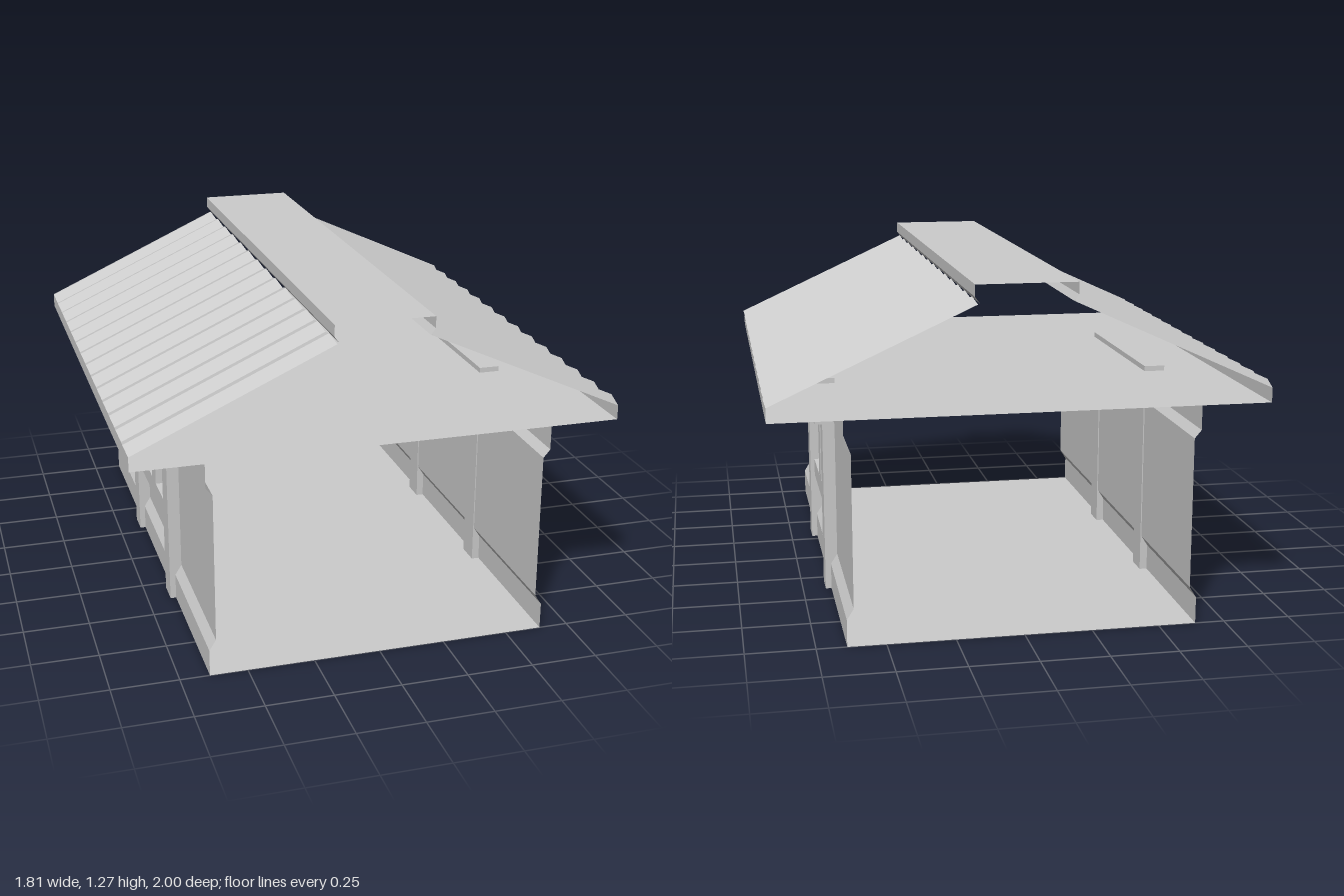
import * as THREE from 'three';

const material = new THREE.MeshStandardMaterial({ color: 0xcccccc, flatShading: true, side: THREE.DoubleSide });

// Flat-shaded sheet lofted through rows of [x, y, z] points
function sheet(name, rows) {
  const pos = [];
  for (let r = 0; r < rows.length - 1; r++) {
    for (let i = 0; i < rows[r].length - 1; i++) {
      const a = rows[r][i], b = rows[r][i + 1], c = rows[r + 1][i + 1], d = rows[r + 1][i];
      pos.push(...a, ...b, ...c, ...a, ...c, ...d);
    }
  }
  const geo = new THREE.BufferGeometry();
  geo.setAttribute('position', new THREE.Float32BufferAttribute(pos, 3));
  geo.computeVertexNormals();
  const mesh = new THREE.Mesh(geo, material);
  mesh.name = name;
  return mesh;
}

// Open profile in x and y, run along the whole depth of the building
const strip = (name, profile) =>
  sheet(name, profile.map(([x, y]) => [[x, y, 1], [x, y, -1]]));

// Box given by its limits
function box(name, x0, x1, y0, y1, z0, z1) {
  const mesh = new THREE.Mesh(new THREE.BoxGeometry(x1 - x0, y1 - y0, z1 - z0), material);
  mesh.position.set((x0 + x1) / 2, (y0 + y1) / 2, (z0 + z1) / 2);
  mesh.name = name;
  return mesh;
}

// Corrugated roof panel: ridges and valleys alternate along z, with closed ends
function roofPanel(s) {
  const ribs = 14;
  const row = (valley, peak) => Array.from({ length: ribs * 2 + 1 }, (_, i) => {
    const [x, y] = i % 2 ? peak : valley;
    return [s * x, y, 1 - i / ribs];
  });
  const eaveLow = [0.9, 0.874], eaveHigh = [0.907, 0.892];
  const topLow = [0.172, 1.206], topHigh = [0.18, 1.224];
  const rows = [row(eaveLow, eaveLow), row(eaveLow, eaveHigh), row(topLow, topHigh), row(topLow, topLow)];
  return sheet('roofPanel', s > 0 ? rows : rows.reverse());
}

// One side: wall, eave board, roof panel and window frame
function side(s) {
  const g = new THREE.Group();
  g.name = s > 0 ? 'leftSide' : 'rightSide';
  const profile = (pts) => {
    const p = pts.map(([x, y]) => [s * x, y]);
    return s > 0 ? p : p.reverse();
  };
  g.add(strip('wall', profile([[0.64, 0], [0.64, 0.1], [0.615, 0.14], [0.615, 0.7], [0.64, 0.73], [0.64, 0.82]])));
  g.add(strip('eaveBoard', profile([[0.9, 0.82], [0.9, 0.874]])));
  g.add(roofPanel(s));

  const part = (name, x0, x1, ...rest) => {
    const [a, b] = s > 0 ? [x0, x1] : [-x1, -x0];
    g.add(box(name, a, b, ...rest));
  };
  part('lintel', 0.611, 0.691, 0.66, 0.84, -0.385, 0.385);
  part('framePost', 0.611, 0.662, 0, 0.66, 0.29, 0.385);
  part('framePost', 0.611, 0.662, 0, 0.66, -0.385, -0.29);
  part('windowSill', 0.617, 0.645, 0.275, 0.345, -0.29, 0.29);
  part('windowMullion', 0.617, 0.645, 0.345, 0.66, -0.04, 0.04);
  return g;
}

export function createModel() {
  const model = new THREE.Group();
  model.name = 'house';
  model.add(strip('floor', [[0.64, 0], [-0.64, 0]]));
  model.add(strip('ceiling', [[0.9, 0.82], [-0.9, 0.82]]));
  model.add(side(1), side(-1));
  // Ridge cap with lips folded in below the roof panels
  model.add(strip('ridgeCap', [[0.165, 1.209], [0.182, 1.232], [0.182, 1.275], [-0.182, 1.275], [-0.182, 1.232], [-0.165, 1.209]]));
  return model;
}
